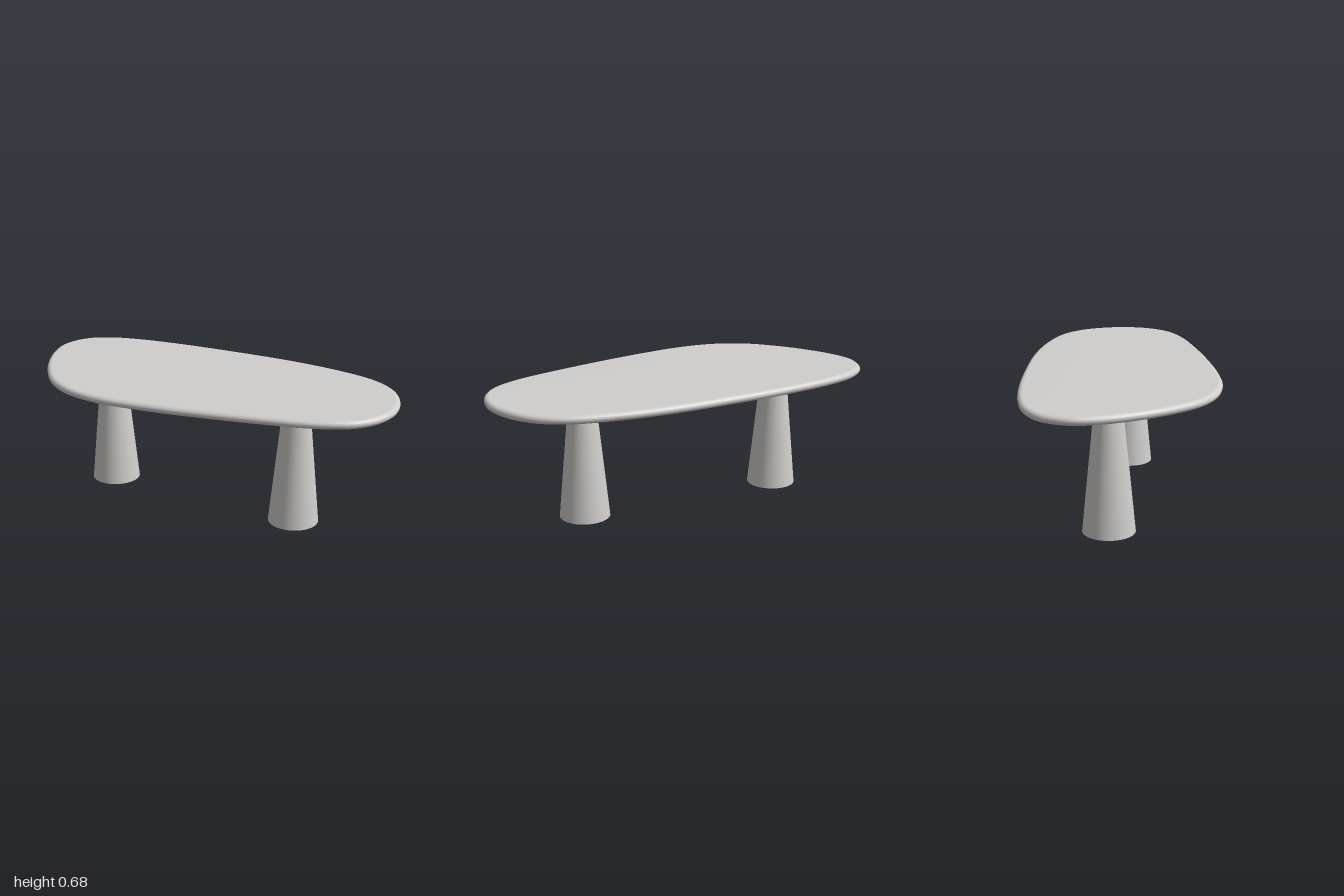
import * as THREE from 'three';

const TOP_Y = 0.675, BOTTOM_Y = 0.633, LEG_Z = -0.021;

// Freeform outline of the tabletop as [x, z], clockwise seen from above
const OUTLINE = [
  [-1, -0.145], [-0.957, -0.283], [-0.85, -0.37], [-0.7, -0.422], [-0.45, -0.465],
  [-0.1, -0.495], [0.25, -0.507], [0.54, -0.485], [0.754, -0.433], [0.888, -0.342],
  [0.968, -0.215], [1, -0.07], [0.973, 0.07], [0.9, 0.176], [0.754, 0.264],
  [0.487, 0.35], [0.193, 0.424], [-0.075, 0.477], [-0.316, 0.502], [-0.503, 0.48],
  [-0.652, 0.412], [-0.77, 0.305], [-0.888, 0.15], [-0.973, -0.016],
];

// Slab with a rounded rim: each ring is the outline, inset along its normal
function slabGeometry(segments = 160, rings = 12, inset = 0.024) {
  const curve = new THREE.CatmullRomCurve3(
    OUTLINE.map(([x, z]) => new THREE.Vector3(x, 0, z)), true, 'centripetal');
  const half = (TOP_Y - BOTTOM_Y) / 2, midY = (TOP_Y + BOTTOM_Y) / 2;
  const positions = [], index = [];
  for (let k = 0; k <= rings; k++) {
    const a = Math.PI * (0.5 - k / rings);
    const offset = inset * (1 - Math.cos(a));
    for (let i = 0; i < segments; i++) {
      const p = curve.getPointAt(i / segments), t = curve.getTangentAt(i / segments);
      positions.push(p.x - t.z * offset, midY + half * Math.sin(a), p.z + t.x * offset);
    }
  }
  const topCentre = (rings + 1) * segments, bottomCentre = topCentre + 1;
  positions.push(0, TOP_Y, 0, 0, BOTTOM_Y, 0);
  for (let i = 0; i < segments; i++) {
    const j = (i + 1) % segments;
    for (let k = 0; k < rings; k++) {
      const r = k * segments, s = r + segments;
      index.push(r + i, r + j, s + i, r + j, s + j, s + i);
    }
    const last = rings * segments;
    index.push(topCentre, j, i, bottomCentre, last + i, last + j);
  }
  const geometry = new THREE.BufferGeometry();
  geometry.setAttribute('position', new THREE.Float32BufferAttribute(positions, 3));
  geometry.setIndex(index);
  geometry.computeVertexNormals();
  return geometry;
}

export function createModel() {
  const table = new THREE.Group();
  table.name = 'table';
  const stone = new THREE.MeshStandardMaterial({ color: 0xd0cecc });
  stone.name = 'pale grey';

  const tabletop = new THREE.Mesh(slabGeometry(), stone);
  tabletop.name = 'tabletop';
  table.add(tabletop);

  // Two tapered pedestal legs
  const legHeight = BOTTOM_Y + 0.004;
  const legGeometry = new THREE.CylinderGeometry(0.065, 0.128, legHeight, 64);
  for (const [name, x] of [['rightLeg', -0.587], ['leftLeg', 0.51]]) {
    const leg = new THREE.Mesh(legGeometry, stone);
    leg.name = name;
    leg.position.set(x, legHeight / 2, LEG_Z);
    table.add(leg);
  }
  return table;
}
